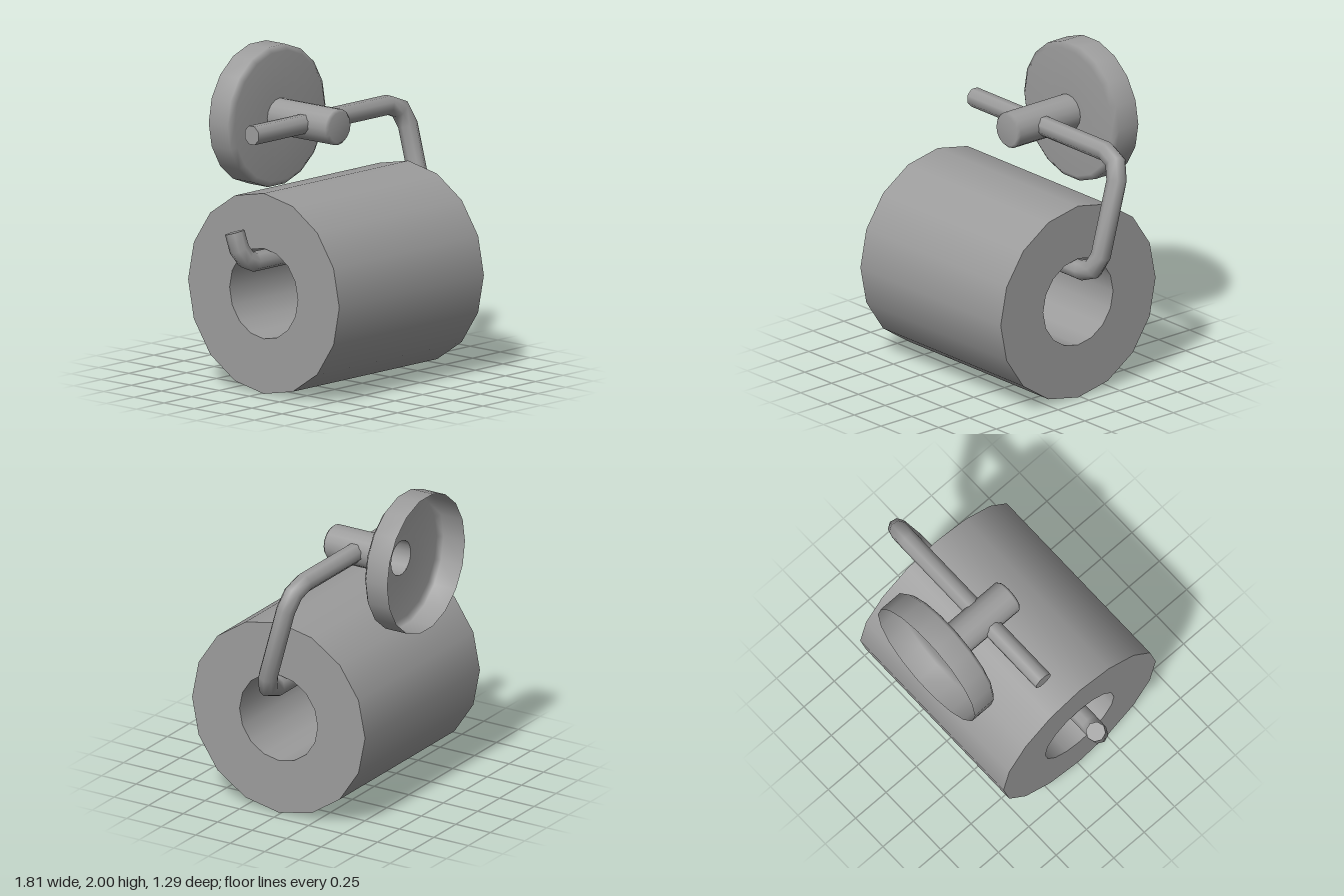
import * as THREE from 'three';

const material = new THREE.MeshStandardMaterial({ color: 0x9c9c9c, side: THREE.DoubleSide });

function part(name, geometry) {
  const mesh = new THREE.Mesh(geometry, material);
  mesh.name = name;
  return mesh;
}

// Turned part from [radius, height] pairs; a doubled pair makes a sharp edge
function turned(profile, sides, phase = 0) {
  const geometry = new THREE.LatheGeometry(profile.map(([r, h]) => new THREE.Vector2(r, h)), sides, phase);
  geometry.normalizeNormals();
  return geometry;
}

// Round rod with mitred bends along a path lying in a plane with the given normal
function bentRod(path, radius, sides, planeNormal, phase) {
  const positions = [], normals = [], index = [], last = path.length - 1;
  const dir = i => path[i + 1].clone().sub(path[i]).normalize();

  // One ring of vertices, with radial normals or a flat cap normal
  function addRing(i, capSign = 0) {
    const a = dir(Math.max(i - 1, 0)), b = dir(Math.min(i, last - 1));
    const tangent = a.clone().add(b).normalize();
    const across = new THREE.Vector3().crossVectors(planeNormal, tangent);
    const stretch = 1 / tangent.dot(a);
    for (let k = 0; k < sides; k++) {
      const t = phase + (k / sides) * Math.PI * 2;
      const u = across.clone().multiplyScalar(Math.cos(t));
      const v = planeNormal.clone().multiplyScalar(-Math.sin(t));
      const n = capSign ? tangent.clone().multiplyScalar(capSign) : u.clone().add(v);
      const p = path[i].clone().addScaledVector(u, radius * stretch).addScaledVector(v, radius);
      positions.push(p.x, p.y, p.z);
      normals.push(n.x, n.y, n.z);
    }
  }

  path.forEach((_, i) => addRing(i));
  for (let i = 0; i < last; i++) {
    for (let k = 0; k < sides; k++) {
      const a = i * sides + k, b = i * sides + (k + 1) % sides;
      index.push(a, a + sides, b, b, a + sides, b + sides);
    }
  }

  // Flat end caps
  addRing(0, -1);
  addRing(last, 1);
  const s = path.length * sides, e = s + sides;
  for (let k = 1; k < sides - 1; k++) index.push(s, s + k, s + k + 1, e, e + k + 1, e + k);

  const geometry = new THREE.BufferGeometry();
  geometry.setAttribute('position', new THREE.Float32BufferAttribute(positions, 3));
  geometry.setAttribute('normal', new THREE.Float32BufferAttribute(normals, 3));
  geometry.setIndex(index);
  return geometry;
}

export function createModel() {
  const model = new THREE.Group();
  model.name = 'toiletRollHolder';

  // Paper roll with a hollow core
  const R = 0.627, r = 0.283, h = 0.655;
  const roll = part('paperRoll', turned([
    [R, -h], [R, h], [R, h], [r, h], [r, h], [r, -h], [r, -h], [R, -h]
  ], 16).rotateZ(-Math.PI / 2));
  roll.position.set(0.015, R, 0.018);
  model.add(roll);

  // Wall mount: hollow cup and post, both open at the back
  const mount = new THREE.Group();
  mount.name = 'wallMount';
  mount.position.set(0.027, 1.565, 0);
  mount.add(
    part('wallPlate', turned([[0.443, -0.643], [0.443, -0.487], [0.408, -0.46], [0.112, -0.46]], 18, Math.PI / 18)
      .rotateX(Math.PI / 2)),
    part('post', turned([[0.113, -0.46], [0.113, 0.021], [0.096, 0.039], [0, 0.039]], 16)
      .rotateX(Math.PI / 2))
  );
  model.add(mount);

  // Bent arm in a plane leaning forward toward the bottom
  const lean = 0.276;
  const path = [
    [-0.53, 1.57], [0.70, 1.57], [0.80, 1.53], [0.842, 1.43],
    [0.842, 0.97], [0.80, 0.88], [0.70, 0.842],
    [-0.73, 0.842], [-0.795, 0.87], [-0.835, 0.93], [-0.845, 1.035]
  ].map(([x, y]) => new THREE.Vector3(x, y, 0.018 - lean * (y - 0.845)));
  const planeNormal = new THREE.Vector3(0, lean, 1).normalize();
  model.add(part('arm', bentRod(path, 0.062, 8, planeNormal, Math.PI / 8 - Math.atan(lean))));

  return model;
}
